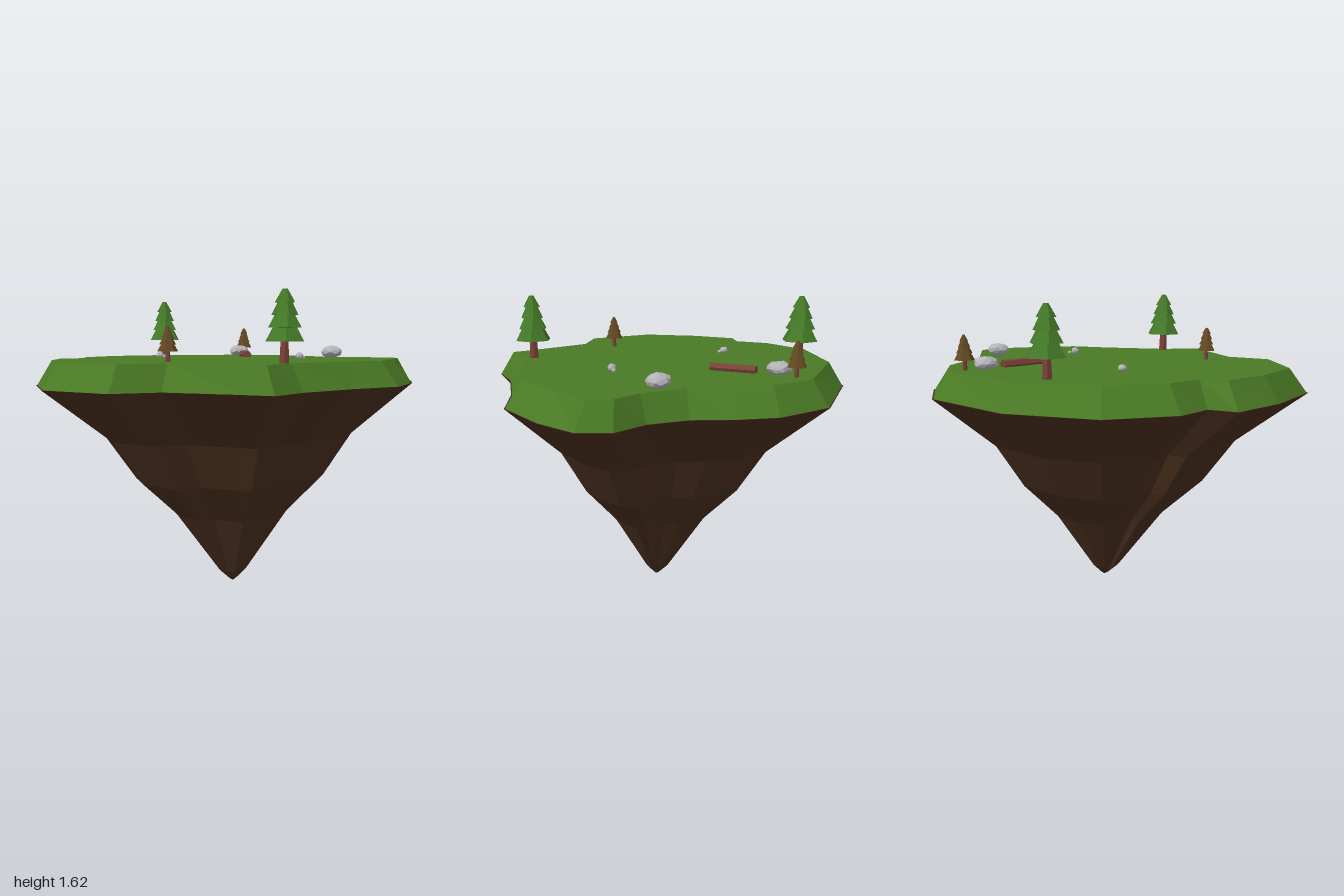
import * as THREE from 'three';

const mat = (name, color, extra = {}) => {
  const m = new THREE.MeshStandardMaterial({ color, flatShading: true, ...extra });
  m.name = name;
  return m;
};

// Island outline, clockwise from the back: [rim x, rim z, turf top x, turf top z]
const OUTLINE = [
  [-0.174, -0.98, -0.147, -0.89], [0.147, -0.93, 0.105, -0.845], [0.32, -0.815, 0.285, -0.72],
  [0.48, -0.67, 0.43, -0.605], [0.67, -0.59, 0.655, -0.535], [0.86, -0.59, 0.81, -0.54],
  [0.98, -0.476, 0.9, -0.46], [1.0, -0.235, 0.895, -0.225], [0.955, 0.095, 0.86, 0.08],
  [0.765, 0.325, 0.71, 0.25], [0.57, 0.635, 0.495, 0.56], [0.49, 0.86, 0.435, 0.79],
  [0.33, 0.838, 0.31, 0.77], [-0.055, 0.815, -0.055, 0.735], [-0.25, 0.97, -0.243, 0.88],
  [-0.645, 0.87, -0.62, 0.765], [-0.875, 0.55, -0.805, 0.5], [-1.0, 0.255, -0.9, 0.25],
  [-0.895, 0.155, -0.82, 0.145], [-0.985, -0.02, -0.895, -0.04], [-0.95, -0.38, -0.86, -0.345],
  [-0.665, -0.745, -0.6, -0.685],
];
const TOP = 1.28, RIM = 1.15, TIP_X = 0.04;

// Joins closed rings of points, listed from top to bottom
function skin(rings) {
  const pos = [];
  for (let r = 0; r < rings.length - 1; r++) {
    const up = rings[r], lo = rings[r + 1];
    up.forEach((_, i) => {
      const j = (i + 1) % up.length;
      pos.push(...lo[i], ...up[i], ...up[j], ...lo[i], ...up[j], ...lo[j]);
    });
  }
  const g = new THREE.BufferGeometry();
  g.setAttribute('position', new THREE.Float32BufferAttribute(pos, 3));
  g.computeVertexNormals();
  return g;
}

export function createModel() {
  const model = new THREE.Group();
  model.name = 'floatingIsland';
  const grass = mat('grass green', 0x4a7a25);
  const earth = mat('earth brown', 0x4a2f1e);
  const wood = mat('reddish wood', 0x7a4238);
  const leaves = mat('pine green', 0x447a28);
  const dry = mat('dry foliage', 0x624722);
  const stone = mat('stone grey', 0xb4b4b8);

  const add = (parent, name, geometry, material) => {
    const m = new THREE.Mesh(geometry, material);
    m.name = name;
    parent.add(m);
    return m;
  };

  // Grass: flat top and sloping edge
  const shape = new THREE.Shape(OUTLINE.map((p) => new THREE.Vector2(p[2], -p[3])));
  const lawn = new THREE.ShapeGeometry(shape);
  lawn.rotateX(-Math.PI / 2).translate(0, TOP, 0);
  add(model, 'grassTop', lawn, grass);
  const turfRim = OUTLINE.map((p) => [p[0] * 0.993, RIM, p[1] * 0.993]);
  add(model, 'grassEdge', skin([OUTLINE.map((p) => [p[2], TOP, p[3]]), turfRim]), grass);

  // Earth: the outline shrinking down to a point, [height, scale]
  const levels = [[RIM, 1], [0.87, 0.67], [0.63, 0.515], [0.42, 0.31], [0.07, 0.075], [0.015, 0.02], [0, 0]];
  const earthRings = levels.map(([y, s]) =>
    OUTLINE.map((p) => [TIP_X + (p[0] - TIP_X) * s, y, p[1] * s]));
  add(model, 'earthCone', skin([turfRim, ...earthRings]), earth);

  // Trees: trunk and four overlapping tiers, [bottom, top, bottom radius, top radius]
  const tiers = [
    [0.1, 0.185, 0.1, 0.052], [0.165, 0.24, 0.082, 0.04],
    [0.222, 0.295, 0.064, 0.028], [0.28, 0.342, 0.047, 0.012],
  ];
  function tree(name, x, z, scale, foliage, turn) {
    const g = new THREE.Group();
    g.name = name;
    const trunk = new THREE.CylinderGeometry(0.019, 0.026, 0.13, 6).translate(0, 0.06, 0);
    add(g, 'trunk', trunk, wood);
    tiers.forEach(([y0, y1, r0, r1], i) => {
      const tier = new THREE.CylinderGeometry(r1, r0, y1 - y0, 6).translate(0, (y0 + y1) / 2, 0);
      add(g, 'foliageTier', tier, foliage).rotation.y = i * 0.12;
    });
    g.position.set(x, TOP, z);
    g.rotation.y = turn;
    g.scale.setScalar(scale);
    model.add(g);
  }
  tree('backPine', -0.575, -0.505, 1, leaves, 0.3);
  tree('frontPine', 0.457, 0.55, 1, leaves, 0.3);
  tree('backDryPine', -0.13, -0.805, 0.515, dry, 0);
  tree('frontDryPine', -0.13, 0.545, 0.515, dry, 0);

  // Rocks: icosahedra made uneven by a rule
  function rock(name, x, z, r, h, seed) {
    const g = new THREE.IcosahedronGeometry(1, 1);
    const p = g.attributes.position;
    const v = new THREE.Vector3();
    for (let i = 0; i < p.count; i++) {
      v.fromBufferAttribute(p, i);
      const k = 1 + 0.09 * Math.sin(v.x * 5 + seed) * Math.cos(v.z * 4 + v.y * 3 + seed);
      p.setXYZ(i, v.x * k, v.y * k, v.z * k);
    }
    g.computeVertexNormals();
    const m = add(model, name, g, stone);
    m.scale.set(r, h, r);
    m.position.set(x, TOP + h * 0.85, z);
  }
  rock('backRock', -0.13, -0.7, 0.062, 0.036, 1);
  rock('rightRock', 0.51, -0.5, 0.062, 0.037, 2.5);
  rock('pebble', -0.432, -0.08, 0.023, 0.018, 4);
  rock('pebble', -0.4, -0.075, 0.012, 0.01, 5);
  rock('pebble', 0.405, -0.055, 0.022, 0.021, 6);
  rock('pebble', 0.418, -0.085, 0.012, 0.01, 7);

  // Fallen log
  const log = add(model, 'fallenLog', new THREE.CylinderGeometry(0.026, 0.026, 0.24, 6), wood);
  const dir = new THREE.Vector3(0.09, 0, 0.22).normalize();
  log.quaternion.setFromUnitVectors(new THREE.Vector3(0, 1, 0), dir);
  log.position.set(-0.03, TOP + 0.012, -0.49);

  return model;
}
